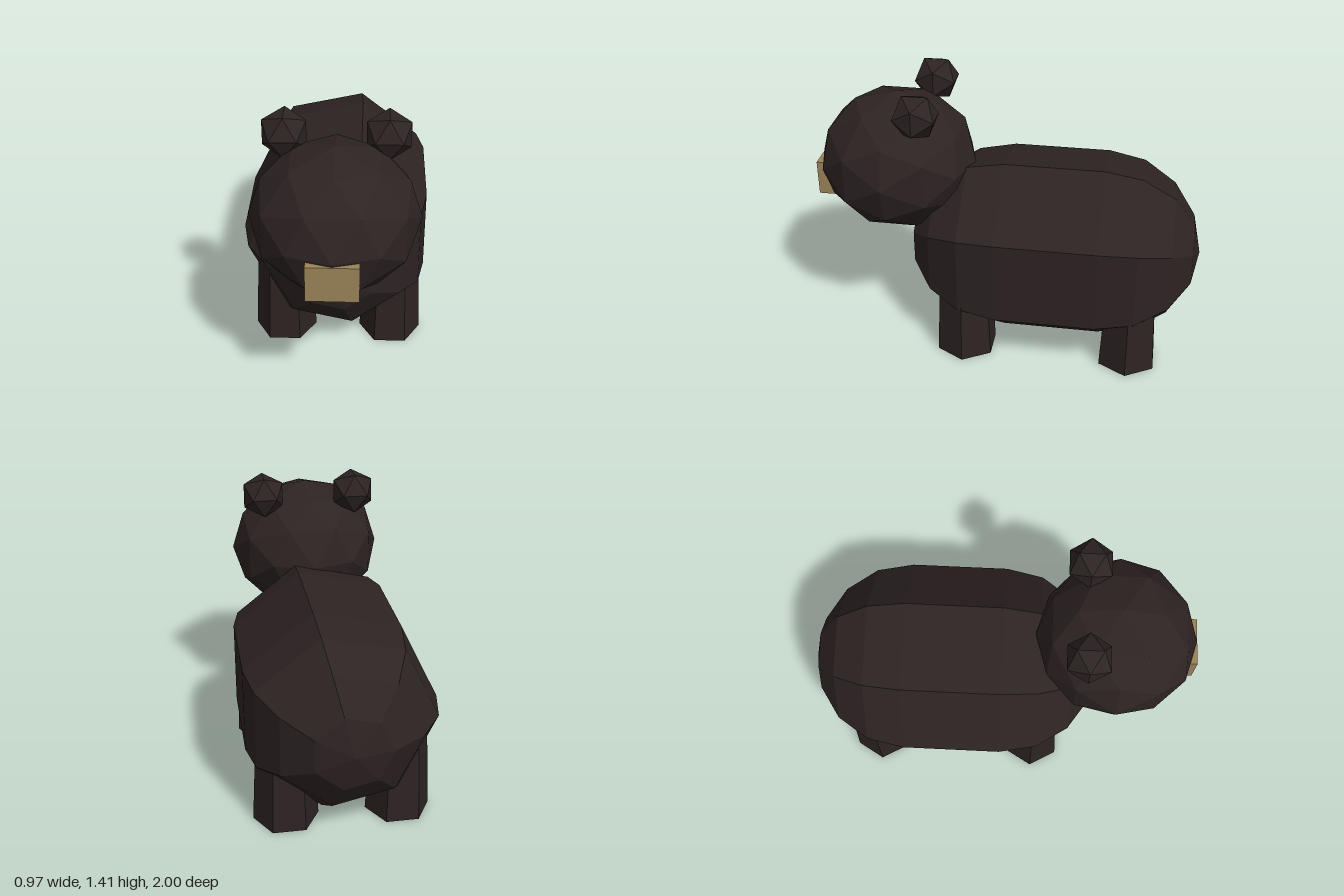
import * as THREE from 'three';

const fur = new THREE.MeshStandardMaterial({ color: 0x2d2323, flatShading: true });
fur.name = 'dark brown fur';
const tan = new THREE.MeshStandardMaterial({ color: 0x9b8358, flatShading: true });
tan.name = 'tan muzzle';

const CX = 0.022; // the animal's own centre line

export function createModel() {
  const bear = new THREE.Group();
  bear.name = 'bear';

  const add = (name, geometry, material, x, y, z) => {
    const mesh = new THREE.Mesh(geometry, material);
    mesh.name = name;
    mesh.position.set(x, y, z);
    bear.add(mesh);
    return mesh;
  };

  // Body: seven-sided capsule lying along z
  const body = new THREE.CapsuleGeometry(0.508, 0.51, 4, 7, 1).rotateX(Math.PI / 2);
  add('body', body, fur, CX, 0.512, -0.235);

  // Head: faceted ball, slightly flattened
  const head = new THREE.IcosahedronGeometry(0.407, 1).rotateZ(Math.PI / 2);
  add('head', head, fur, CX, 0.957, 0.59).scale.y = 0.9;

  // Muzzle block, sunk into the face
  add('muzzle', new THREE.BoxGeometry(0.242, 0.182, 0.24), tan, CX + 0.002, 0.855, 0.88);

  // Ears and legs, mirrored about the centre line
  const ear = new THREE.IcosahedronGeometry(0.122, 0).rotateZ(Math.PI / 2);
  const leg = new THREE.CylinderGeometry(0.1375, 0.1625, 0.5, 6, 1, false, Math.PI / 2);
  for (const [side, s] of [['left', 1], ['right', -1]]) {
    add(`${side}Ear`, ear, fur, CX + s * 0.244, 1.302, 0.43);
    add(`${side}FrontLeg`, leg, fur, CX + s * 0.28, 0.25, 0.195);
    add(`${side}BackLeg`, leg, fur, CX + s * 0.28, 0.25, -0.66);
  }
  return bear;
}
